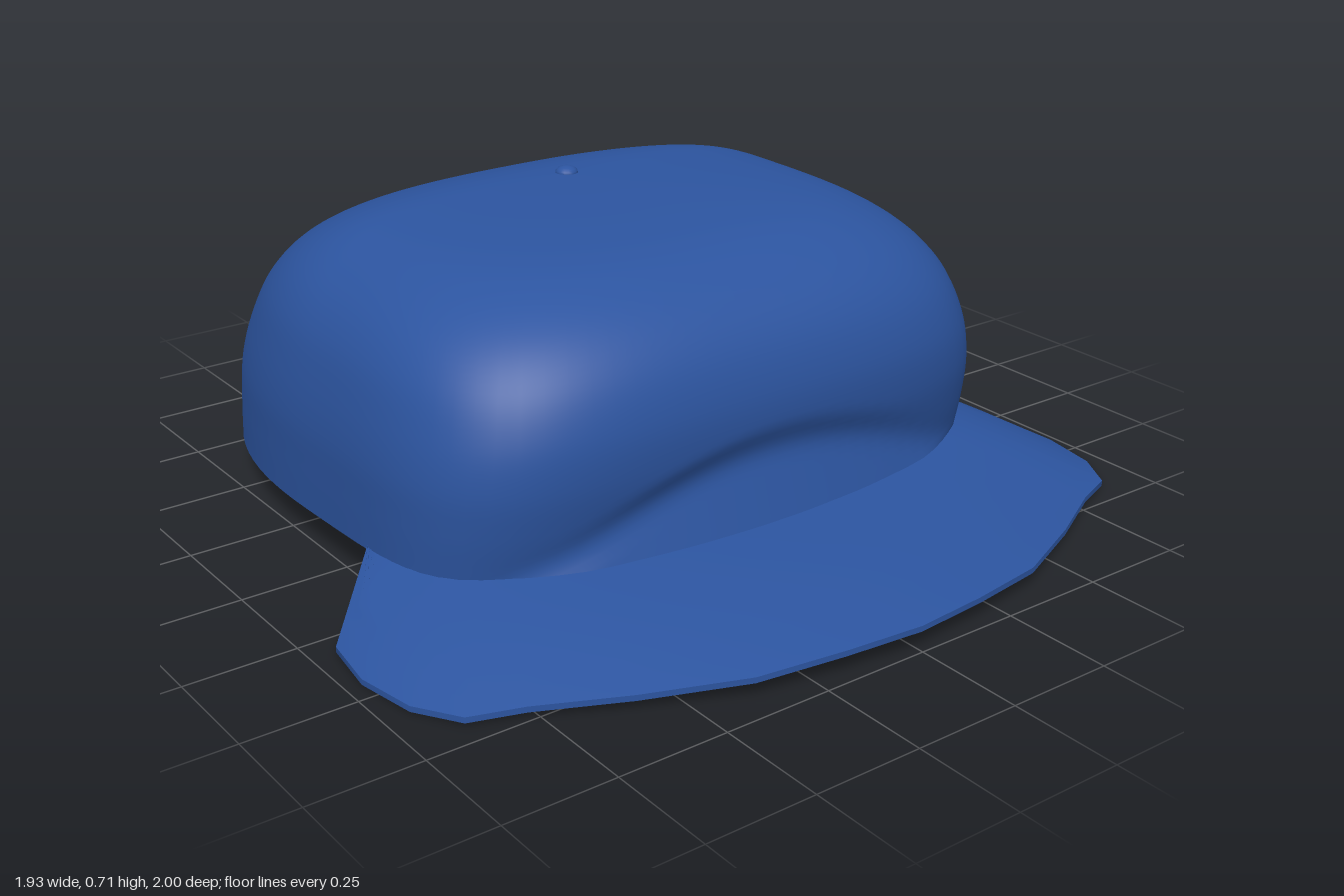
import * as THREE from 'three';
import { toCreasedNormals } from 'three/addons/utils/BufferGeometryUtils.js';

const blue = new THREE.MeshStandardMaterial({ color: 0x2c549f, side: THREE.DoubleSide });
blue.name = 'blue cloth';

// Surface through a grid of points whose columns wrap around
function loopGeometry(rows, cols, point) {
  const pos = [], index = [];
  for (let i = 0; i < rows; i++) for (let j = 0; j < cols; j++) pos.push(...point(i, j));
  for (let i = 0; i < rows - 1; i++) {
    for (let j = 0; j < cols; j++) {
      const a = i * cols + j, b = i * cols + ((j + 1) % cols), c = a + cols, d = b + cols;
      index.push(a, c, b, b, c, d);
    }
  }
  const g = new THREE.BufferGeometry();
  g.setAttribute('position', new THREE.Float32BufferAttribute(pos, 3));
  g.setIndex(index);
  g.computeVertexNormals();
  return g;
}

// Crown sections: height, half width, front z, back z
const SECTIONS = [
  [0.10, 0.772, 0.49, -1.0], [0.2, 0.775, 0.52, -0.975], [0.3, 0.775, 0.54, -0.94],
  [0.4, 0.76, 0.54, -0.88], [0.5, 0.73, 0.51, -0.79], [0.58, 0.675, 0.45, -0.68],
  [0.64, 0.59, 0.36, -0.55], [0.675, 0.48, 0.25, -0.43], [0.692, 0.29, 0.05, -0.34],
  [0.698, 0, -0.25, -0.25],
];

function crownGeometry() {
  const curve = (f) => new THREE.CatmullRomCurve3(SECTIONS.map(f), false, 'catmullrom');
  const sizes = curve((s) => new THREE.Vector3(s[1], s[2], s[3]));
  const heights = curve((s) => new THREE.Vector3(s[0], 0, 0));
  const rows = 55, cols = 112;
  return loopGeometry(rows, cols, (i, j) => {
    const t = i / (rows - 1), s = sizes.getPoint(t);
    const h = (heights.getPoint(t).x - 0.1) / 0.598;
    const mid = -0.1 - 0.15 * h ** 4;
    const a = (j / cols) * Math.PI * 2, c = Math.cos(a), n = Math.sin(a);
    // squarer outline at the front, rounder at the back
    const e = n > 0 ? 4.6 - 1.2 * h : 2.5;
    const r = (Math.abs(c) ** e + Math.abs(n) ** e) ** (-1 / e);
    const x = s.x * r * c;
    let z = mid + (n > 0 ? s.y - mid : mid - s.z) * r * n;
    // the rim drops toward the back
    const rim = 0.1 + 0.037 * z;
    const y = rim + (0.698 - rim) * h;
    // arched panel pressed in above the brim
    if (n > 0 && Math.abs(x) < 0.6) {
      const arch = 0.12 + 0.17 * (1 - (x / 0.55) ** 2);
      const panel = 0.56 - 0.06 * (x / 0.5) ** 2 - 0.33 * (y - 0.12);
      const k = 1 - THREE.MathUtils.smoothstep(y, arch - 0.06, arch + 0.05);
      z += (panel - z) * k;
    }
    return [x, y, z];
  });
}

// Brim edges from the centre to one side: x, y, z (inner edge tucked under the crown)
const INNER = [
  [0, 0.122, 0.54], [0.15, 0.122, 0.535], [0.36, 0.122, 0.505], [0.5, 0.122, 0.455], [0.6, 0.121, 0.425],
  [0.66, 0.12, 0.39], [0.7, 0.119, 0.34], [0.735, 0.117, 0.27], [0.755, 0.114, 0.2], [0.765, 0.11, 0.13],
];
const OUTER = [
  [0, 0.058, 0.995], [0.18, 0.056, 0.977], [0.38, 0.046, 0.937], [0.59, 0.034, 0.838], [0.77, 0.024, 0.737],
  [0.88, 0.017, 0.69], [0.94, 0.014, 0.59], [0.965, 0.014, 0.45], [0.95, 0.02, 0.32], [0.772, 0.108, 0.135],
];

function brimGeometry() {
  const both = (half) => [...half.slice(1).reverse().map(([x, y, z]) => [-x, y, z]), ...half];
  const inner = both(INNER).reverse(), outer = both(OUTER).reverse();
  const steps = 8, thick = 0.013;
  // each section runs out along the top and back along the underside
  const g = loopGeometry(inner.length, steps * 2 + 2, (i, j) => {
    const under = j > steps;
    const t = (under ? steps * 2 + 1 - j : j) / steps;
    const [x, y, z] = inner[i].map((v, k) => v + (outer[i][k] - v) * t);
    return [x, y + 0.006 * Math.sin(Math.PI * t) - (under ? thick : 0), z];
  });
  return toCreasedNormals(g, 0.7);
}

export function createModel() {
  const cap = new THREE.Group();
  cap.name = 'cap';
  const add = (name, geometry) => {
    const mesh = new THREE.Mesh(geometry, blue);
    mesh.name = name;
    cap.add(mesh);
    return mesh;
  };
  add('crown', crownGeometry());
  add('brim', brimGeometry());

  // Small button on top
  const button = add('topButton', new THREE.SphereGeometry(0.027, 16, 10));
  button.scale.y = 0.6;
  button.position.set(0.012, 0.697, -0.255);
  return cap;
}
